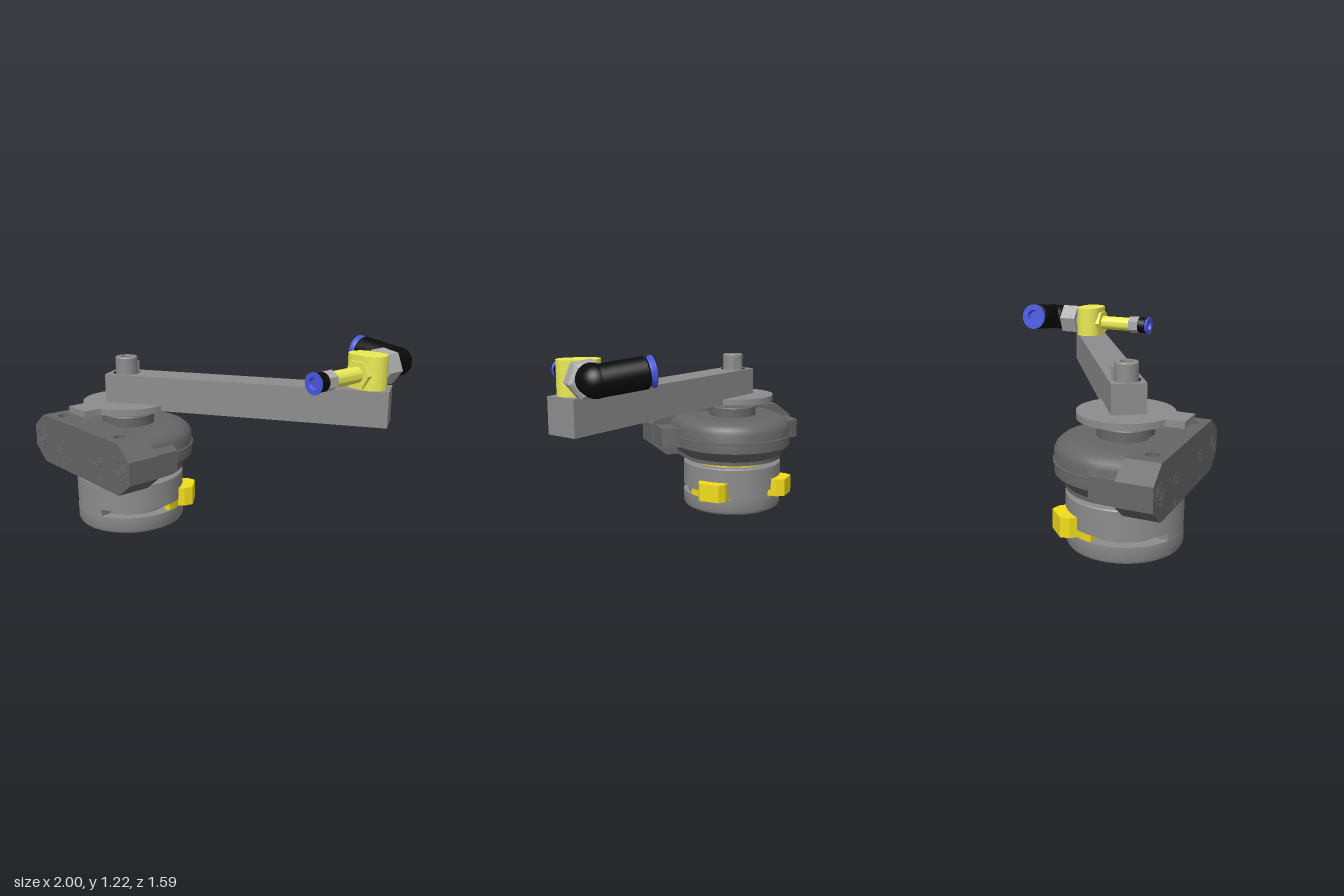
import * as THREE from 'three';
import { toCreasedNormals } from 'three/addons/utils/BufferGeometryUtils.js';

const MID = 0x8c8c8c, DARK = 0x666666, STEEL = 0xacacac;
const YELLOW = 0xeaea55, CLIP = 0xf2dc1a, BLACK = 0x0a0a0a, BLUE = 0x4a58e0;
const CX = -0.45, CZ = 0.415; // main vertical axis

export function createModel() {
  const model = new THREE.Group();
  const mats = {};
  const mat = (c) => (mats[c] ??= new THREE.MeshStandardMaterial({ color: c }));
  const add = (name, geo, color, pos = [0, 0, 0], parent = model) => {
    const mesh = new THREE.Mesh(toCreasedNormals(geo, 0.5), mat(color));
    mesh.name = name;
    mesh.position.set(...pos);
    parent.add(mesh);
    return mesh;
  };
  const pts = (list) => list.map(([x, y]) => new THREE.Vector2(x, y));
  const lathe = (list, seg = 64) => new THREE.LatheGeometry(pts(list), seg);
  // rear half of a turned part
  const rearLathe = (list) => new THREE.LatheGeometry(pts(list), 40, Math.PI / 2, Math.PI);
  const poly = (list) => new THREE.Shape(pts(list));
  const circle = (x, y, r) => new THREE.Path().absarc(x, y, r, 0, Math.PI * 2, true);
  // plan outline (x, z) given thickness between y0 and y1
  const plan = (shape, y0, y1) =>
    new THREE.ExtrudeGeometry(shape, { depth: y1 - y0, bevelEnabled: false, curveSegments: 32 })
      .rotateX(Math.PI / 2).translate(0, y1, 0);
  // ring sector, angles in degrees from +x towards +z
  const sector = (r0, r1, a0, a1, S = THREE.Shape) => {
    const d = Math.PI / 180;
    const s = new S();
    s.absarc(0, 0, r1, a0 * d, a1 * d, false);
    s.absarc(0, 0, r0, a1 * d, a0 * d, true);
    s.closePath();
    return s;
  };
  // cylinder along z between z0 and z1
  const rodZ = (r0, r1, z0, z1, seg = 32) =>
    new THREE.CylinderGeometry(r1, r0, z1 - z0, seg).rotateX(Math.PI / 2).translate(0, 0, (z0 + z1) / 2);

  // ---- everything around the main axis
  const base = new THREE.Group();
  base.name = 'pumpBase';
  base.position.set(CX, 0, CZ);
  model.add(base);
  const addBase = (name, geo, color, pos = [0, 0, 0]) => add(name, geo, color, pos, base);

  // bottom cup with two curved slots in its floor
  addBase('lowerCup', lathe([[0.285, 0], [0.295, 0], [0.335, 0.02], [0.345, 0.04], [0.345, 0.12], [0.31, 0.12], [0.285, 0.03], [0.285, 0]]), MID);
  const floor = new THREE.Shape().absarc(0, 0, 0.29, 0, Math.PI * 2);
  floor.holes.push(sector(0.21, 0.26, -50, 50, THREE.Path), sector(0.21, 0.26, 130, 230, THREE.Path));
  addBase('cupFloor', plan(floor, 0.005, 0.03), MID);
  addBase('core', new THREE.CylinderGeometry(0.235, 0.235, 0.15, 48), MID, [0, 0.175, 0]);
  for (const a of [90, 270]) addBase('slotPost', plan(sector(0.24, 0.344, a - 23, a + 23), 0.11, 0.18), MID);
  addBase('upperShell', lathe([[0, 0.24], [0.29, 0.24], [0.29, 0.165], [0.345, 0.165], [0.345, 0.328], [0.338, 0.335], [0, 0.335]]), MID);

  // clips at the back corners with their locking arms
  const clipShape = poly([[-0.1, 0.3], [0.1, 0.3], [0.1, 0.37], [0.07, 0.42], [-0.07, 0.42], [-0.1, 0.37]]);
  for (const s of [1, -1]) {
    addBase('clip', plan(clipShape, 0.12, 0.24), CLIP).rotation.y = Math.PI - s * Math.PI / 4;
    addBase('clipArm', plan(s > 0 ? sector(0.3, 0.342, -45, -11) : sector(0.3, 0.342, 191, 225), 0.12, 0.165), CLIP);
  }
  addBase('clipRing', plan(sector(0.17, 0.28, -165, -15), 0.33, 0.345), CLIP);
  addBase('lowerNeck', new THREE.CylinderGeometry(0.165, 0.165, 0.05, 48), DARK, [0, 0.35, 0]);

  // head: rounded at the rear, running straight forward into the bracket
  const head = [[0, 0.36], [0.345, 0.36], [0.345, 0.385], [0.408, 0.455], [0.408, 0.585],
    [0.395, 0.615], [0.365, 0.64], [0.33, 0.655], [0.28, 0.66], [0, 0.66]];
  addBase('head', rearLathe(head), DARK);
  addBase('headFront', new THREE.ExtrudeGeometry(
    poly([...head, ...head.slice(1, -1).reverse().map(([x, y]) => [-x, y])]), { depth: 0.18, bevelEnabled: false }), DARK);
  addBase('headSeam', rearLathe([[0.4, 0.508], [0.416, 0.512], [0.416, 0.528], [0.4, 0.532]]), DARK);
  addBase('sideWings', plan(poly([[-0.525, 0.18], [-0.525, 0.01], [-0.4, -0.05], [0.4, -0.05], [0.525, 0.01], [0.525, 0.18]]), 0.455, 0.585), DARK);

  // mounting bracket: plate with vertical holes, ends pulled in at top and bottom
  const plate = poly([[-0.55, 0.17], [0.55, 0.17], [0.55, 0.378], [-0.55, 0.378]]);
  for (const x of [-0.325, 0.325]) plate.holes.push(circle(x, 0.285, 0.038));
  const bracket = new THREE.ExtrudeGeometry(plate, { depth: 3, steps: 3, bevelEnabled: false, curveSegments: 24 }).rotateX(Math.PI / 2);
  const bp = bracket.attributes.position;
  for (let i = 0; i < bp.count; i++) {
    const level = Math.round(-bp.getY(i));
    if (Math.abs(bp.getX(i)) > 0.5) bp.setX(i, Math.sign(bp.getX(i)) * [0.435, 0.55, 0.55, 0.435][level]);
    bp.setY(i, [0.68, 0.59, 0.45, 0.36][level]);
  }
  bracket.computeVertexNormals();
  addBase('bracket', bracket, DARK);
  for (const s of [1, -1]) {
    addBase('screwRim', new THREE.TorusGeometry(0.058, 0.006, 8, 40), DARK, [s * 0.46, 0.52, 0.374]);
    addBase('screwHead', new THREE.TorusGeometry(0.032, 0.008, 8, 6), DARK, [s * 0.46, 0.52, 0.373]);
    addBase('frontHole', new THREE.TorusGeometry(0.033, 0.004, 8, 32), DARK, [s * 0.213, 0.52, 0.376]);
    addBase('pinHole', new THREE.TorusGeometry(0.018, 0.004, 8, 24), DARK, [s * 0.213, 0.39, 0.376]);
  }

  // upper neck, pointer disc with front tab, hollow shaft and key
  addBase('upperNeck', lathe([[0, 0.64], [0.165, 0.64], [0.165, 0.72], [0.158, 0.727], [0.085, 0.727], [0.085, 0.738], [0.12, 0.758], [0.12, 0.77], [0, 0.77]]), DARK);
  const disc = new THREE.Shape();
  disc.absarc(0, 0, 0.283, Math.PI * 0.61, Math.PI * 2.39, false);
  disc.quadraticCurveTo(0.09, 0.3, 0.09, 0.378);
  disc.lineTo(-0.09, 0.378);
  disc.quadraticCurveTo(-0.09, 0.3, -0.096, 0.266);
  addBase('pointerDisc', plan(disc, 0.765, 0.805), MID);
  addBase('shaft', lathe([[0, 0.7], [0.069, 0.7], [0.069, 1.08], [0.064, 1.086], [0.038, 1.086], [0.038, 1.03], [0, 1.03]], 40), MID);
  addBase('shaftKey', new THREE.BoxGeometry(0.04, 0.25, 0.03), MID, [0, 0.925, -0.07]);

  // ---- swinging arm
  const arm = poly([[-0.594, 0.385], [-0.487, 0.556], [1.0, -0.385], [0.893, -0.556]]);
  arm.holes.push(circle(CX, CZ, 0.085));
  add('arm', plan(arm, 0.77, 0.982), MID);

  // ---- tee and fittings at the arm's end
  const fit = new THREE.Group();
  fit.name = 'fittings';
  fit.position.set(0.826, 1.07, -0.4);
  model.add(fit);
  const addFit = (name, geo, color, pos) => add(name, geo, color, pos, fit);
  const tee = new THREE.Shape();
  tee.absarc(0.041, 0, 0.083, -Math.PI / 2, Math.PI / 2, false);
  tee.absarc(-0.041, 0, 0.083, Math.PI / 2, Math.PI * 1.5, false);
  tee.closePath();
  addFit('teeBody', plan(tee, -0.09, 0.11), YELLOW);
  addFit('teeStud', new THREE.CylinderGeometry(0.07, 0.07, 0.22, 32), YELLOW, [0, -0.192, 0]);

  // front branch
  addFit('frontNut', rodZ(0.088, 0.088, 0.06, 0.1, 6).rotateZ(Math.PI / 6), YELLOW);
  addFit('frontTube', rodZ(0.048, 0.048, 0.08, 0.32), YELLOW);
  addFit('frontHex', rodZ(0.06, 0.06, 0.315, 0.385, 6), STEEL);
  addFit('frontCollar', rodZ(0.055, 0.055, 0.385, 0.437), BLACK);
  const flare = (r, h) => lathe([[0, 0], [r * 0.75, 0], [r * 0.8, h * 0.3], [r, h * 0.75], [r, h], [r * 0.55, h], [r * 0.45, 0.3 * h], [0, 0.3 * h]], 32);
  addFit('frontRelease', flare(0.064, 0.027).rotateX(Math.PI / 2), BLUE, [0, 0, 0.435]);

  // rear branch: hex nut and tilted black elbow
  const hexTurn = Math.PI / 6 - 0.15;
  addFit('rearNeck', rodZ(0.075, 0.075, -0.1, -0.05), STEEL);
  addFit('rearHex', rodZ(0.111, 0.111, -0.2, -0.085, 6).rotateZ(hexTurn), STEEL, [-0.006, 0.014, 0]);
  addFit('rearHexChamfer', rodZ(0.09, 0.111, -0.213, -0.2, 6).rotateZ(hexTurn), STEEL, [-0.006, 0.014, 0]);
  const elbow = new THREE.Group();
  elbow.name = 'elbow';
  elbow.position.set(-0.02, 0.023, -0.305);
  fit.add(elbow);
  add('elbowSocket', rodZ(0.088, 0.088, 0, 0.1), BLACK, [0, 0, 0], elbow);
  add('elbowBend', new THREE.SphereGeometry(0.09, 32, 20), BLACK, [0, 0, 0], elbow);
  const outlet = new THREE.Group();
  outlet.name = 'elbowOutlet';
  outlet.rotation.z = Math.PI / 2 - 0.125;
  elbow.add(outlet);
  add('outletBody', lathe([[0, 0], [0.088, 0], [0.088, 0.265], [0.08, 0.275], [0, 0.275]], 40), BLACK, [0, 0, 0], outlet);
  add('outletRelease', flare(0.088, 0.036), BLUE, [0, 0.272, 0], outlet);

  return model;
}
